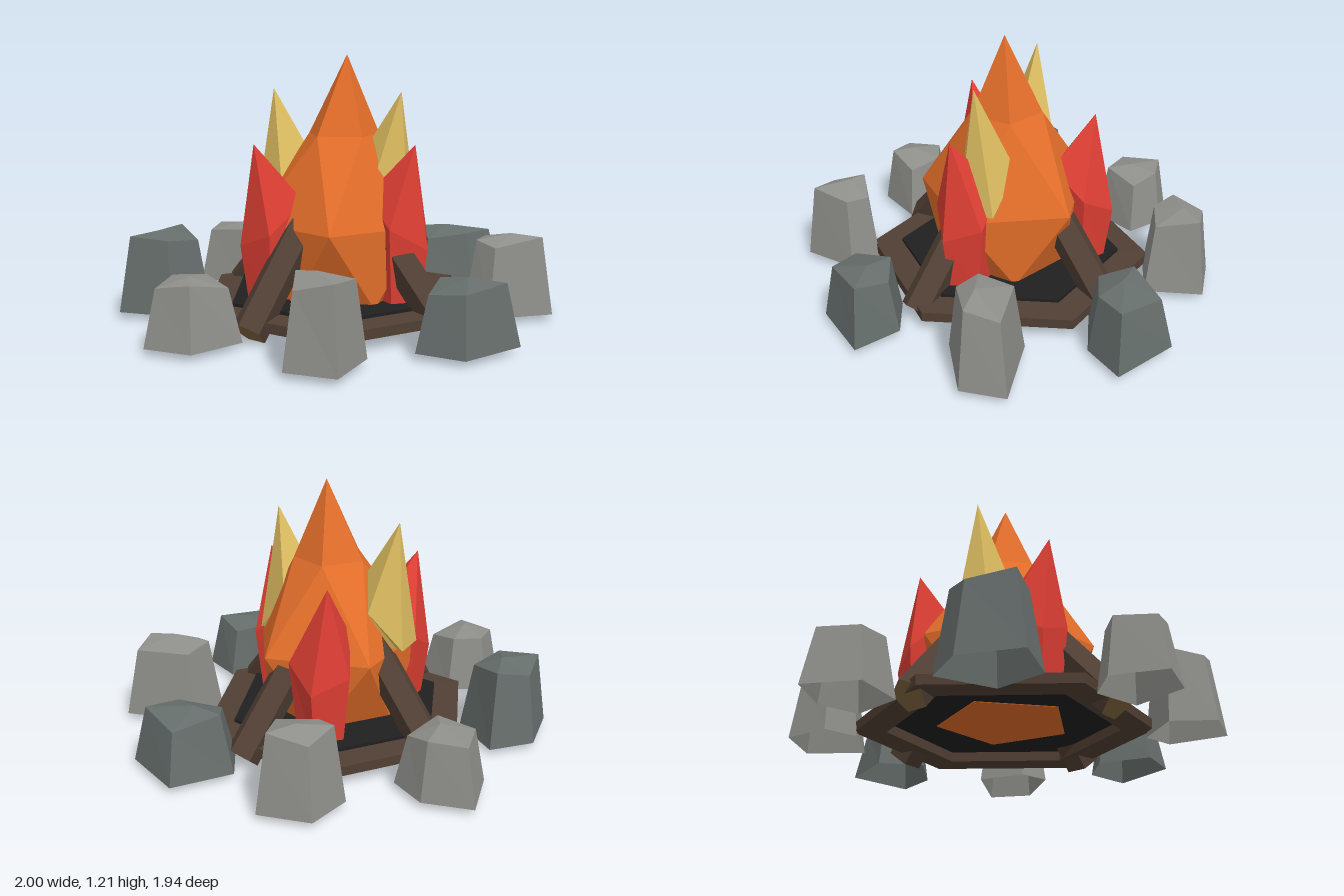
import * as THREE from 'three';

const material = (name, color) => {
  const m = new THREE.MeshStandardMaterial({ color });
  m.name = name;
  return m;
};

// Ring of n points around (x, z); turn is counted in steps between points.
function ring(n, r, y, x = 0, z = 0, turn = 0) {
  return Array.from({ length: n }, (_, i) => {
    const a = ((i + turn) / n) * Math.PI * 2;
    return new THREE.Vector3(x + r * Math.sin(a), y, z + r * Math.cos(a));
  });
}

const point = (n, x, y, z) => Array(n).fill(new THREE.Vector3(x, y, z));

// Faceted skin over a stack of equally sized rings.
function loft(rings) {
  const pos = [];
  const tri = (a, b, c) => {
    if (a !== b && b !== c && a !== c) for (const p of [a, b, c]) pos.push(p.x, p.y, p.z);
  };
  for (let k = 0; k + 1 < rings.length; k++) {
    const a = rings[k], b = rings[k + 1], n = a.length;
    for (let i = 0; i < n; i++) {
      const j = (i + 1) % n;
      tri(a[i], a[j], b[i]);
      tri(a[j], b[j], b[i]);
    }
  }
  const g = new THREE.BufferGeometry();
  g.setAttribute('position', new THREE.Float32BufferAttribute(pos, 3));
  g.computeVertexNormals();
  return g;
}

function faceted(geometry) {
  const g = geometry.toNonIndexed();
  g.computeVertexNormals();
  return g;
}

// Large flame: base, belly, shoulder and tip, each turned half a step.
function mainFlame(x, z) {
  return loft([
    point(5, x, 0.097, z), ring(5, 0.31, 0.097, x, z), ring(5, 0.41, 0.45, x, z, 0.5),
    ring(5, 0.17, 0.85, x + 0.01, z + 0.01, 1), point(5, 0.035, 1.21, 0.07),
  ]);
}

// Small flame leaning outward: its belly ring sinks on the outer side.
function sideFlame([x, z], [tipX, tipZ], o) {
  const outward = Math.atan2(x, z - 0.04);
  const turn = (outward / (Math.PI * 2)) * 5 + o.turn;
  const belly = ring(5, o.radius, o.belly, x, z, turn);
  for (const p of belly) {
    p.y -= o.slope * ((p.x - x) * Math.sin(outward) + (p.z - z) * Math.cos(outward));
  }
  return loft([
    point(5, x, o.base, z), ring(5, o.baseRadius, o.base, x, z, turn),
    belly, point(5, tipX, o.tip, tipZ),
  ]);
}

// Tapered hollow stone from its five-cornered footprint [x, z, ...], listed clockwise.
function stone(corners, height, index) {
  const foot = [];
  for (let i = 8; i >= 0; i -= 2) foot.push(new THREE.Vector3(corners[i], 0.03, corners[i + 1]));
  const c = foot.reduce((s, p) => s.add(p), new THREE.Vector3()).divideScalar(5);
  const top = foot.map((p, i) => new THREE.Vector3(
    c.x + (p.x - c.x) * 0.74,
    height - 0.035 + 0.022 * Math.sin(i * 2.3 + index),
    c.z + (p.z - c.z) * 0.74));
  return loft([
    foot, top,
    point(5, c.x + 0.03 * Math.sin(index * 2), height, c.z + 0.03 * Math.cos(index * 2)),
  ]);
}

export function createModel() {
  const model = new THREE.Group();
  model.name = 'campfire';
  const paleStone = material('pale stone', 0x8e8e8a);
  const darkStone = material('dark stone', 0x666e6c);
  paleStone.side = darkStone.side = THREE.DoubleSide;
  const bark = material('bark brown', 0x513f34);
  const cutWood = material('cut wood', 0x80643f);
  const ash = material('ash black', 0x202020);
  const orange = material('flame orange', 0xe36e2a);
  const red = material('flame red', 0xdf3f34);
  const yellow = material('flame yellow', 0xdcbc60);

  const add = (name, geometry, mat, parent = model) => {
    const mesh = new THREE.Mesh(geometry, mat);
    mesh.name = name;
    parent.add(mesh);
    return mesh;
  };

  // Six-sided hearth with its bed of ash
  const hearth = new THREE.Group();
  hearth.name = 'hearth';
  hearth.position.set(-0.005, 0, 0.033);
  model.add(hearth);
  const rim = [[0.665, 0.055], [0.665, 0.1], [0.52, 0.105], [0.52, 0.055], [0.665, 0.055]];
  add('hearthRim', loft(rim.map(([r, y]) => ring(6, r, y, 0, 0, 1.5))), bark, hearth);
  const bed = new THREE.CylinderGeometry(0.525, 0.525, 0.02, 6);
  bed.rotateY(Math.PI / 2).translate(0, 0.11, 0);
  add('ashBed', faceted(bed), ash, hearth);

  // Flames
  add('mainFlame', mainFlame(0.01, 0.05), orange);
  const redShape = { base: 0.105, baseRadius: 0.115, belly: 0.48, radius: 0.15, slope: 0.8, tip: 0.825, turn: -0.12 };
  [[[0.165, 0.32], [0.19, 0.4]], [[0.19, -0.25], [0.19, -0.31]], [[-0.315, 0.01], [-0.42, 0.04]]]
    .forEach(([base, tip]) => add('redFlame', sideFlame(base, tip, redShape), red));
  const yellowShape = { base: 0.47, baseRadius: 0.08, belly: 0.6, radius: 0.135, slope: 1.15, tip: 1.05, turn: 0.5 };
  [[[0.17, 0.225], [0.19, 0.285]], [[-0.17, -0.165], [-0.2, -0.205]]]
    .forEach(([base, tip]) => add('yellowFlame', sideFlame(base, tip, yellowShape), yellow));

  // Five-sided leaning logs, feet outward and a ridge on top
  const rise = 0.45, run = 0.4;
  const length = Math.hypot(rise, run);
  const logGeometry = faceted(new THREE.CylinderGeometry(0.082, 0.082, length, 5).translate(0, length / 2, 0));
  [[-0.26, -0.61], [0.57, -0.23], [-0.57, 0.24], [0.23, 0.58]].forEach(([x, z]) => {
    const arm = new THREE.Group();
    arm.name = 'logArm';
    arm.position.set(0, 0, 0.03);
    arm.rotation.y = Math.atan2(x, z);
    model.add(arm);
    const log = add('log', logGeometry, [bark, cutWood, cutWood], arm);
    log.position.set(0, 0.045, 0.605);
    log.rotation.x = -Math.atan2(run, rise);
  });

  // Circle of stones, some of them darker
  [
    [-0.19, -0.97, -0.01, -0.83, 0.02, -0.64, -0.21, -0.57, -0.35, -0.77],
    [0.46, -0.8, 0.65, -0.65, 0.51, -0.42, 0.3, -0.54, 0.27, -0.7],
    [0.92, -0.31, 1, 0, 0.79, 0.03, 0.56, -0.1, 0.63, -0.3],
    [0.65, 0.26, 0.93, 0.47, 0.8, 0.63, 0.5, 0.55, 0.47, 0.4],
    [0.13, 0.63, 0.32, 0.71, 0.37, 0.93, 0.06, 0.97, -0.06, 0.79],
    [-0.52, 0.55, -0.29, 0.6, -0.26, 0.75, -0.48, 0.9, -0.63, 0.73],
    [-0.83, 0.03, -0.65, 0.1, -0.61, 0.32, -0.86, 0.37, -1, 0.2],
    [-0.73, -0.57, -0.51, -0.55, -0.51, -0.27, -0.74, -0.19, -0.92, -0.37],
  ].forEach((corners, i) => add('stone', stone(corners, i % 2 ? 0.4 : 0.32, i),
    [2, 4, 7].includes(i) ? darkStone : paleStone));

  return model;
}
